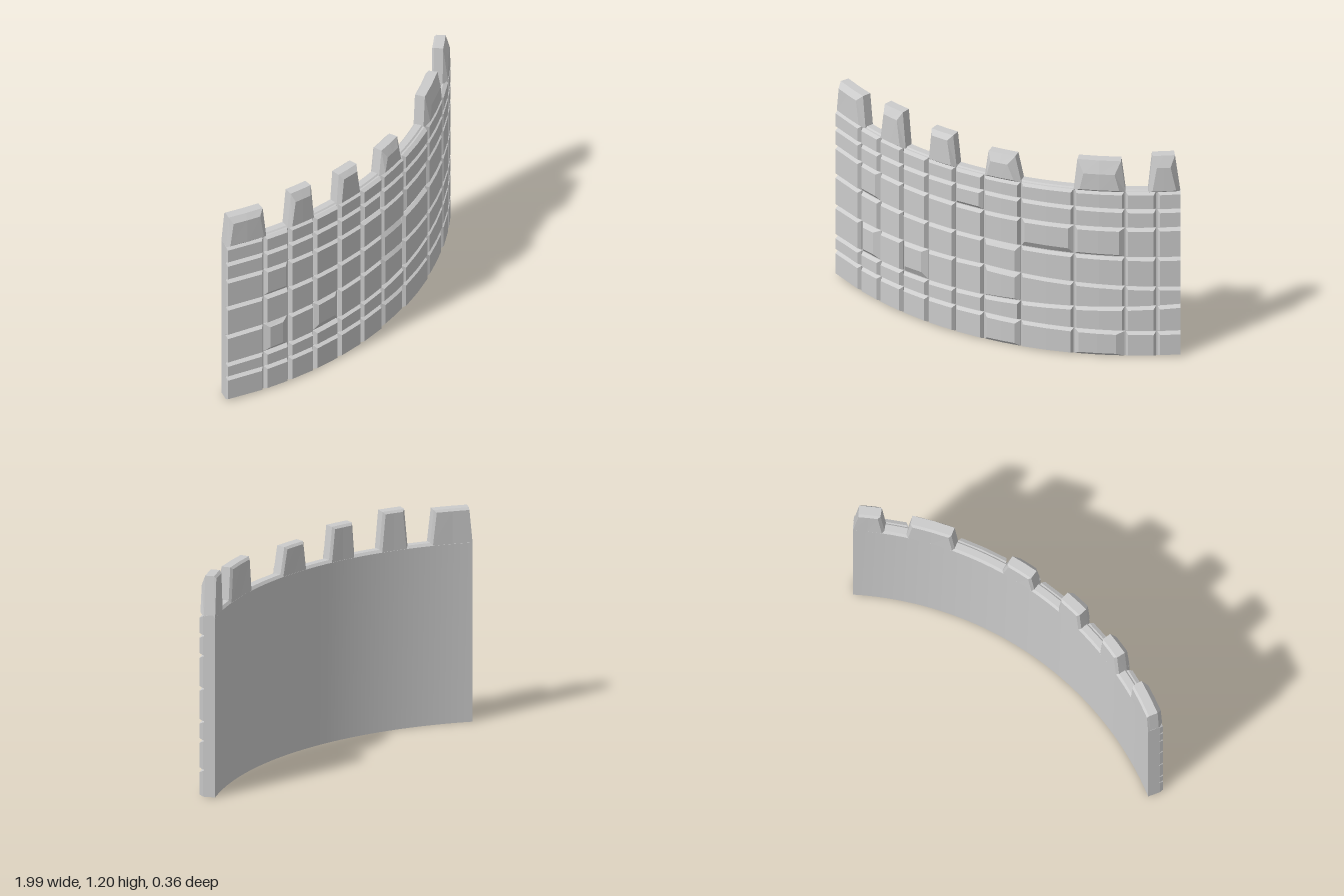
import * as THREE from 'three';
import { toCreasedNormals } from 'three/addons/utils/BufferGeometryUtils.js';

const R_IN = 1.785, R_CORE = 1.845, R_OUT = 1.87, CENTER_Z = 0.18 - R_OUT;

// Bends a flat wall position (x measured on the outer face) onto radius r.
function bend(x, y, r) {
  const s = x / R_OUT;
  return [r * s, y, r * Math.sqrt(1 - s * s) + CENTER_Z];
}

// Lofts curved four-sided outlines from back to front.
// Each layer: { r, bl, br, tr, tl } with corners as [x, y].
function loft(layers, segments) {
  const n = segments, mix = THREE.MathUtils.lerp;
  const rings = layers.map(({ r, bl, br, tr, tl }) => {
    const edge = (a, b) => Array.from({ length: n + 1 }, (_, i) =>
      bend(mix(a[0], b[0], i / n), mix(a[1], b[1], i / n), r));
    return [...edge(bl, br), ...edge(tr, tl)];
  });
  const pos = [], m = 2 * n + 2;
  const quad = (a, b, c, d) => pos.push(...a, ...b, ...c, ...a, ...c, ...d);
  for (let k = 0; k < rings.length - 1; k++) {
    const A = rings[k], B = rings[k + 1];
    for (let i = 0; i < m; i++) {
      const j = (i + 1) % m;
      quad(A[i], A[j], B[j], B[i]);
    }
  }
  const back = rings[0], front = rings[rings.length - 1];
  for (let i = 0; i < n; i++) {
    const t = m - 1 - i;
    quad(front[i], front[i + 1], front[t - 1], front[t]);
    quad(back[i + 1], back[i], back[t], back[t - 1]);
  }
  const geo = new THREE.BufferGeometry();
  geo.setAttribute('position', new THREE.Float32BufferAttribute(pos, 3));
  geo.computeVertexNormals();
  return geo;
}

// Outline at radius r, shrunk by left, right, bottom and top insets.
function outline(r, { bl, br, tr, tl }, [l, rt, b, t] = [0, 0, 0, 0]) {
  return {
    r,
    bl: [bl[0] + l, bl[1] + b], br: [br[0] - rt, br[1] + b],
    tr: [tr[0] - rt, tr[1] - t], tl: [tl[0] + l, tl[1] - t],
  };
}

// Column joints, and row joints given at the left end, middle and right end.
const COLS = [-1, -0.81, -0.67, -0.515, -0.35, -0.18, -0.01, 0.2, 0.485, 0.74, 0.89, 1];
const ROWS = [
  [0, 0, 0], [0.145, 0.16, 0.145], [0.235, 0.265, 0.305], [0.415, 0.45, 0.41],
  [0.6, 0.61, 0.59], [0.775, 0.775, 0.77], [0.885, 0.895, 0.88], [0.99, 0.99, 0.99],
];
const rowY = (row, x) => {
  const [a, b, c] = ROWS[row];
  return x < 0 ? b + (a - b) * -x : b + (c - b) * x;
};

// Stones with heavier chipped bevels, keyed "column,row": left, right, bottom, top.
const CHIPPED = {
  '1,2': [0.025, 0.035, 0.025, 0.02],
  '3,2': [0.02, 0.03, 0.04, 0.015],
  '7,4': [0.02, 0.025, 0.035, 0.012],
  '5,5': [0.015, 0.02, 0.022, 0.012],
  '1,4': [0.012, 0.02, 0.025, 0.012],
  '6,0': [0.02, 0.025, 0.022, 0.015],
  '6,2': [0.02, 0.025, 0.015, 0.022],
  '6,3': [0.015, 0.025, 0.012, 0.025],
  '8,0': [0.02, 0.04, 0.02, 0.012],
  '8,4': [0.015, 0.025, 0.018, 0.012],
};

// Merlons: bottom left/right x, top left/right x, height, front face insets.
const MERLONS = [
  [-1, -0.79, -0.985, -0.81, 1.17, [0.015, 0.025, 0.022, 0.03]],
  [-0.67, -0.505, -0.65, -0.525, 1.197, [0.014, 0.02, 0.02, 0.045]],
  [-0.35, -0.178, -0.335, -0.2, 1.17, [0.015, 0.022, 0.02, 0.025]],
  [-0.01, 0.2, 0.012, 0.165, 1.135, [0.022, 0.035, 0.022, 0.045]],
  [0.48, 0.742, 0.5, 0.72, 1.168, [0.035, 0.03, 0.022, 0.07]],
  [0.85, 1, 0.87, 0.975, 1.2, [0.02, 0.022, 0.02, 0.06]],
];

export function createModel() {
  const model = new THREE.Group();
  model.name = 'curvedBattlementWall';
  const material = new THREE.MeshStandardMaterial({ color: 0xcccccc });
  const add = (parent, name, geometry) => {
    const mesh = new THREE.Mesh(geometry, material);
    mesh.name = name;
    parent.add(mesh);
  };

  // Smooth backing wall with a chamfered rear top edge
  const wall = { bl: [-1, 0], br: [1, 0], tr: [1, 0.993], tl: [-1, 0.993] };
  add(model, 'backingWall', toCreasedNormals(loft([
    outline(R_IN, wall, [0, 0, 0, 0.014]),
    outline(R_IN + 0.012, wall),
    outline(R_CORE - 0.012, wall),
    outline(R_CORE, wall, [0, 0, 0, 0.01]),
  ], 40), 0.3));

  // Bevelled stones on the front
  for (let row = 0; row < ROWS.length - 1; row++) {
    const course = new THREE.Group();
    course.name = `stoneCourse${row + 1}`;
    for (let col = 0; col < COLS.length - 1; col++) {
      const first = col === 0, last = col === COLS.length - 2;
      const x0 = COLS[col] + (first ? 0 : 0.004), x1 = COLS[col + 1] - (last ? 0 : 0.004);
      const low = row === 0 ? 0 : 0.003;
      const cell = {
        bl: [x0, rowY(row, x0) + low], br: [x1, rowY(row, x1) + low],
        tr: [x1, rowY(row + 1, x1) - 0.003], tl: [x0, rowY(row + 1, x0) - 0.003],
      };
      const bevel = CHIPPED[`${col},${row}`] ||
        [first ? 0.003 : 0.011, last ? 0.003 : 0.011, 0.011, 0.011];
      const segments = Math.max(1, Math.round((x1 - x0) / 0.13));
      add(course, 'stone', loft([
        outline(R_CORE - 0.01, cell),
        outline(R_CORE + 0.005, cell),
        outline(R_OUT, cell, bevel),
      ], segments));
    }
    model.add(course);
  }

  // Tapered merlons along the top
  const merlons = new THREE.Group();
  merlons.name = 'merlons';
  for (const [b0, b1, t0, t1, top, face] of MERLONS) {
    const shape = { bl: [b0, 0.98], br: [b1, 0.98], tr: [t1, top], tl: [t0, top] };
    const c = 0.012;
    const l = b0 === -1 ? 0 : c, r = b1 === 1 ? 0 : c;
    add(merlons, 'merlon', loft([
      outline(R_IN, shape, [l, r, 0, c]),
      outline(R_IN + c, shape),
      outline(R_CORE, shape),
      outline(R_OUT, shape, face),
    ], 2));
  }
  model.add(merlons);
  return model;
}
